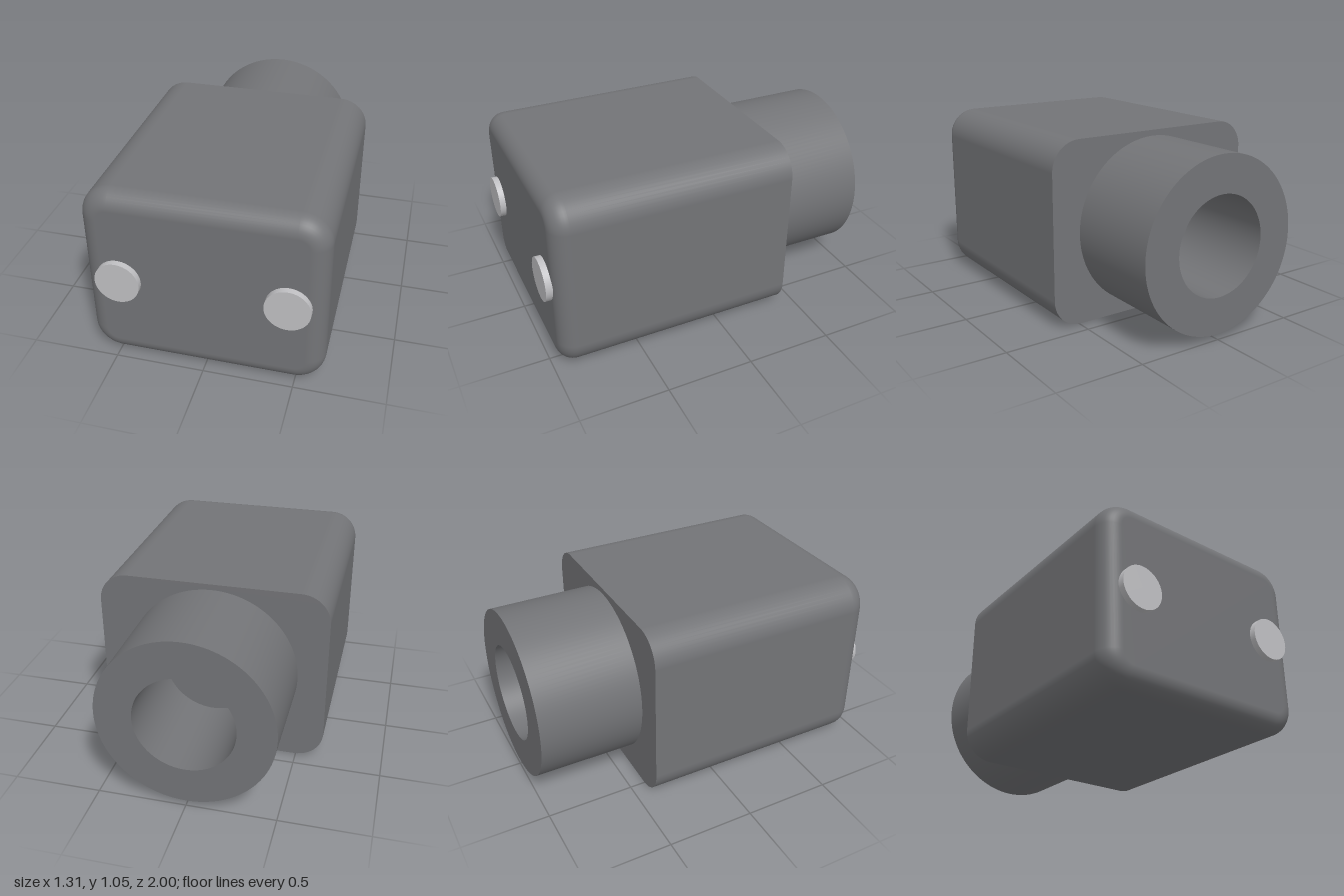
import * as THREE from 'three';
import { toCreasedNormals } from 'three/addons/utils/BufferGeometryUtils.js';

const W = 0.655, H = 0.523, CY = 0.523;   // body half width, half height, centre height
const BACK = -0.41, FRONT = 0.965;
const CORNER = 0.165, FILLET = 0.1;

// Rounded rectangle as points with outward directions, counter-clockwise
function outline(steps = 12) {
  const pts = [];
  [[1, 1], [-1, 1], [-1, -1], [1, -1]].forEach(([sx, sy], q) => {
    for (let i = 0; i <= steps; i++) {
      const a = (q + i / steps) * Math.PI / 2;
      const nx = Math.cos(a), ny = Math.sin(a);
      pts.push({ x: sx * (W - CORNER) + nx * CORNER, y: sy * (H - CORNER) + ny * CORNER, nx, ny });
    }
  });
  return pts;
}

// Side walls, rounding over into the front face
function wallGeometry() {
  const pts = outline(), n = pts.length, rings = 10;
  const pos = [], nor = [], index = [];
  for (let k = -1; k <= rings; k++) {
    const a = Math.max(k, 0) / rings * Math.PI / 2;
    const inset = FILLET * (1 - Math.cos(a));
    const z = k < 0 ? BACK : FRONT - FILLET + FILLET * Math.sin(a);
    for (const p of pts) {
      pos.push(p.x - p.nx * inset, p.y - p.ny * inset, z);
      nor.push(p.nx * Math.cos(a), p.ny * Math.cos(a), Math.sin(a));
    }
  }
  for (let k = 0; k <= rings; k++) {
    for (let i = 0; i < n; i++) {
      const a = k * n + i, b = k * n + (i + 1) % n;
      index.push(a, b, b + n, a, b + n, a + n);
    }
  }
  const g = new THREE.BufferGeometry();
  g.setAttribute('position', new THREE.Float32BufferAttribute(pos, 3));
  g.setAttribute('normal', new THREE.Float32BufferAttribute(nor, 3));
  g.setIndex(index);
  return g;
}

function faceGeometry(inset) {
  return new THREE.ShapeGeometry(new THREE.Shape(
    outline().map(p => new THREE.Vector2(p.x - p.nx * inset, p.y - p.ny * inset))));
}

export function createModel() {
  const group = new THREE.Group();
  const darkGrey = new THREE.MeshStandardMaterial({ color: 0x737477 });
  darkGrey.name = 'dark grey';
  const lightGrey = new THREE.MeshStandardMaterial({ color: 0xc0c0c3 });
  lightGrey.name = 'light grey';

  const add = (name, geometry, material, x, y, z) => {
    const mesh = new THREE.Mesh(geometry, material);
    mesh.name = name;
    mesh.position.set(x, y, z);
    group.add(mesh);
    return mesh;
  };

  // Housing
  add('housingWalls', wallGeometry(), darkGrey, 0, CY, 0);
  add('housingFront', faceGeometry(FILLET), darkGrey, 0, CY, FRONT);
  add('housingBack', faceGeometry(0), darkGrey, 0, CY, BACK).rotation.y = Math.PI;

  // Hollow collar at the back
  const ring = new THREE.Shape().absarc(0, 0, 0.49, 0, Math.PI * 2);
  ring.holes.push(new THREE.Path().absarc(0, 0, 0.28, 0, Math.PI * 2, true));
  const collar = new THREE.ExtrudeGeometry(ring, { depth: BACK + 1, bevelEnabled: false, curveSegments: 64 });
  add('collar', toCreasedNormals(collar, 0.6), darkGrey, 0, CY, -1);

  // Contact studs on the front
  for (const [name, side] of [['leftStud', 1], ['rightStud', -1]]) {
    const stud = new THREE.CylinderGeometry(0.123, 0.123, 0.045, 48);
    stud.rotateX(Math.PI / 2);
    add(name, stud, lightGrey, side * 0.457, CY, 0.9775);
  }
  return group;
}
